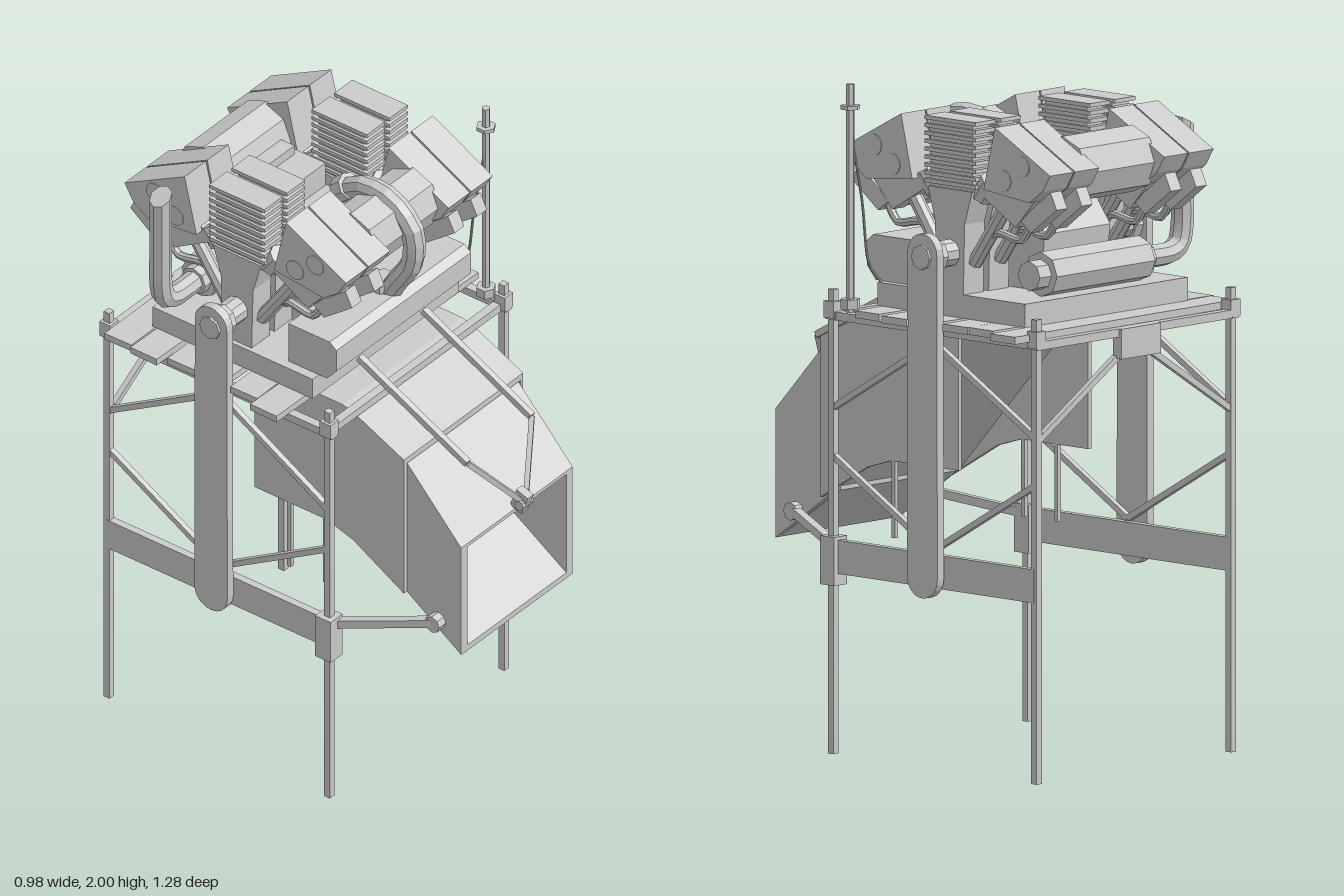
import * as THREE from 'three';

export function createModel() {
  const root = new THREE.Group();
  const mat = new THREE.MeshStandardMaterial({ color: 0xcccccc, flatShading: true, side: THREE.DoubleSide });

  const add = (name, geo, parent = root) => {
    const m = new THREE.Mesh(geo, mat);
    m.name = name;
    parent.add(m);
    return m;
  };
  const part = (name, x = 0) => {
    const g = new THREE.Group();
    g.name = name;
    g.position.x = x;
    root.add(g);
    return g;
  };
  // box given by its limits on each axis
  const box = (name, x0, x1, y0, y1, z0, z1, parent) => {
    const m = add(name, new THREE.BoxGeometry(x1 - x0, y1 - y0, z1 - z0), parent);
    m.position.set((x0 + x1) / 2, (y0 + y1) / 2, (z0 + z1) / 2);
    return m;
  };
  // square bar or round rod between two points
  const bar = (name, a, b, w, parent, round = 0) => {
    const A = new THREE.Vector3(...a), B = new THREE.Vector3(...b), len = A.distanceTo(B);
    const geo = round ? new THREE.CylinderGeometry(w / 2, w / 2, len, round) : new THREE.BoxGeometry(w, w, len);
    if (round) geo.rotateX(Math.PI / 2);
    const m = add(name, geo, parent);
    m.position.copy(A).add(B).multiplyScalar(0.5);
    m.lookAt(B.add(parent.position));
    return m;
  };
  // side profile in [z, y] extruded across x
  const outline = (pts) => new THREE.Shape(pts.map((p) => new THREE.Vector2(...p)));
  const slabShape = (name, shape, x, width, parent) => {
    const geo = new THREE.ExtrudeGeometry(shape, { depth: width, bevelEnabled: false, curveSegments: 5 });
    geo.translate(0, 0, -width / 2).rotateY(-Math.PI / 2).translate(x, 0, 0);
    return add(name, geo, parent);
  };
  const slab = (name, pts, x, width, parent) => slabShape(name, outline(pts), x, width, parent);
  const tube = (name, pts, r, parent) => {
    const curve = new THREE.CatmullRomCurve3(pts.map((p) => new THREE.Vector3(...p)), false, 'catmullrom', 0.4);
    return add(name, new THREE.TubeGeometry(curve, 14, r, 8), parent);
  };

  // Stand: posts, lower beams, side and rear bracing
  const stand = part('stand', -0.008);
  for (const s of [-1, 1]) {
    const x = s * 0.415;
    for (const z of [0.215, -0.61]) box('leg', x - 0.011, x + 0.011, 0, 1.385, z - 0.011, z + 0.011, stand);
    box('lowerBeam', x - 0.012, x + 0.012, 0.54, 0.64, -0.61, 0.215, stand);
    box('legBracket', x - 0.028, x + 0.028, 0.505, 0.65, 0.185, 0.243, stand);
    box('deckRail', x - 0.014, x + 0.014, 1.295, 1.32, -0.63, 0.235, stand);
    for (const z of [0.215, -0.61]) {
      box('railClamp', x - 0.02, x + 0.02, 1.3, 1.35, z - 0.02, z + 0.02, stand);
      bar('upperBrace', [x, 1.03, z], [x, 1.27, -0.195], 0.018, stand);
      bar('lowerBrace', [x, 0.89, z], [x, 0.65, -0.195], 0.018, stand);
    }
    bar('rearBrace', [x, 1.02, -0.61], [0, 1.28, -0.61], 0.018, stand);
    bar('chuteStay', [s * 0.41, 0.62, 0.215], [s * 0.28, 0.675, 0.5], 0.026, stand);
    bar('stayBolt', [s * 0.25, 0.675, 0.505], [s * 0.295, 0.675, 0.505], 0.055, stand, 8);
  }
  for (const z of [0.205, -0.615]) box('crossRail', -0.43, 0.43, 1.295, 1.32, z - 0.014, z + 0.014, stand);
  box('rearPlate', -0.085, 0.083, 1.23, 1.32, -0.64, -0.605, stand);

  // Deck planks with uneven ends
  const deck = part('deck');
  [[-0.47, 0.49, -0.545], [-0.48, 0.45, -0.43], [-0.455, 0.455, -0.32], [-0.44, 0.44, -0.205],
    [-0.455, 0.47, -0.085], [-0.49, 0.455, 0.027]].forEach(([a, b, z], i) => {
    const plank = box('plank', a, b, 1.318, 1.34, z - 0.05, z + 0.05, deck);
    plank.rotation.y = (i % 2 ? -1 : 1) * 0.012;
  });

  // Discharge chute: hood open below and behind, narrower mouth, sloping inner plates
  const chute = part('chute', -0.006);
  const hood = [[-0.17, 1.31], [0.16, 1.31], [0.2, 1.3], [0.39, 1.21], [0.39, 0.73], [0.2, 0.84], [0.1, 0.87], [-0.17, 0.87]];
  const mouth = [[0.38, 1.195], [0.59, 0.97], [0.59, 0.585], [0.38, 0.73]];
  const band = (pts, t) => [...pts, ...pts.slice().reverse().map(([z, y]) => [z, y + t])];
  for (const s of [-1, 1]) {
    slab('hoodSide', hood, s * 0.277, 0.014, chute);
    slab('mouthSide', mouth, s * 0.25, 0.03, chute);
    for (const z of [0.095, -0.04]) bar('chuteHanger', [s * 0.277, 0.64, z], [s * 0.277, 0.9, z], 0.014, chute);
  }
  slab('hoodTop', band(hood.slice(0, 4), -0.02), 0, 0.56, chute);
  slab('feedPlate', band([[0.34, 0.765], [-0.15, 1.29]], 0.012), 0, 0.54, chute);
  slab('mouthTop', band(mouth.slice(0, 2), -0.012), 0, 0.5, chute);
  slab('mouthFloor', band([[0.59, 0.585], [0.34, 0.752]], 0.02), 0, 0.5, chute);

  // Draw frame over the chute with its hook
  const draw = part('drawFrame', -0.005);
  for (const s of [-1, 1]) {
    bar('drawRail', [s * 0.153, 1.39, 0.12], [s * 0.153, 1.185, 0.525], 0.02, draw);
    bar('drawLink', [s * 0.153, 1.185, 0.525], [s * 0.01, 1.01, 0.615], 0.016, draw);
  }
  box('hookBlock', -0.014, 0.014, 0.97, 1.04, 0.585, 0.63, draw).rotation.x = 0.35;
  bar('hookPin', [-0.025, 1.0, 0.615], [0.025, 1.0, 0.615], 0.035, draw, 8);

  // Swing arms with rounded ends, hung on the cross shaft
  const arms = part('swingArms', -0.003);
  const armShape = new THREE.Shape();
  armShape.absarc(-0.195, 1.54, 0.06, 0, Math.PI);
  armShape.absarc(-0.195, 0.575, 0.062, Math.PI, Math.PI * 2);
  for (const s of [-1, 1]) {
    slabShape('arm', armShape, s * 0.448, 0.028, arms);
    bar('shaftHub', [s * 0.4, 1.53, -0.195], [s * 0.432, 1.53, -0.195], 0.1, arms, 8);
    bar('shaftCap', [s * 0.455, 1.53, -0.195], [s * 0.47, 1.53, -0.195], 0.075, arms, 8);
  }
  bar('crossShaft', [-0.44, 1.53, -0.195], [0.44, 1.53, -0.195], 0.082, arms, 10);

  // Engine base, front box and crankcase
  const engine = part('engine');
  box('basePlate', -0.355, 0.34, 1.34, 1.41, -0.5, 0.1, engine);
  slab('frontTank', [[-0.015, 1.41], [0.13, 1.41], [0.165, 1.45], [0.165, 1.525], [0.14, 1.545], [-0.015, 1.545]], -0.005, 0.64, engine);
  slab('crankcase', [[-0.36, 1.41], [-0.03, 1.41], [-0.03, 1.58], [-0.1, 1.7], [-0.29, 1.7], [-0.38, 1.58]], -0.01, 0.28, engine);
  box('intakeBox', -0.125, 0.125, 1.7, 1.78, -0.41, -0.23, engine);
  box('intakeLid', -0.115, 0.105, 1.78, 1.81, -0.41, -0.33, engine);

  // Four cylinder rows: finned barrel in the middle, mirrored heads fore and aft
  const zc = -0.195;
  for (const x of [-0.298, -0.19, 0.19, 0.298]) {
    slab('barrelFoot', [[-0.25, 1.41], [-0.14, 1.41], [-0.135, 1.62], [-0.105, 1.72], [-0.285, 1.72], [-0.255, 1.62]], x, 0.085, engine);
    box('barrelCore', x - 0.035, x + 0.035, 1.7, 1.92, -0.28, -0.11, engine);
    for (let i = 0; i < 9; i++) {
      const y = 1.735 + i * 0.0235;
      box('fin', x - 0.043, x + 0.043, y - 0.006, y + 0.006, -0.3, -0.092, engine);
    }
    for (const s of [-1, 1]) {
      const mirror = (pts) => pts.map(([d, y]) => [zc + s * d, y]);
      slab('headCover', mirror([[0.19, 1.925], [0.415, 1.805], [0.385, 1.755], [0.33, 1.715], [0.145, 1.735]]), x, 0.102, engine);
      slab('headNeck', mirror([[0.34, 1.73], [0.25, 1.63], [0.105, 1.715], [0.16, 1.76]]), x, 0.05, engine);
      slab('headFoot', mirror([[0.3, 1.68], [0.39, 1.75], [0.415, 1.7], [0.31, 1.62], [0.27, 1.65]]), x, 0.046, engine);
      for (const [d, y] of [[0.3, 1.82], [0.225, 1.77]])
        bar('headBoss', [x - 0.054, y, zc + s * d], [x + 0.054, y, zc + s * d], 0.065, engine, 12);
      bar('pushrodTube', [x, 1.5, zc + s * 0.06], [x, 1.7, zc + s * 0.2], 0.045, engine, 8);
      tube('feedPipe', [[x, 1.66, zc + s * 0.3], [x, 1.59, zc + s * 0.25], [x, 1.6, zc + s * 0.15], [x, 1.52, zc + s * 0.07]], 0.013, engine);
      bar('plug', [x, 1.7, zc + s * 0.09], [x, 1.755, zc + s * 0.13], 0.07, engine, 8);
    }
  }
  for (const s of [-1, 1])
    bar('bankManifold', [-0.15, 1.785, zc + s * 0.275], [0.15, 1.785, zc + s * 0.275], 0.2, engine, 8);

  // Central intake pipe
  tube('intakePipe', [[0, 1.83, -0.06], [0, 1.875, 0.02], [0, 1.865, 0.12], [0, 1.79, 0.195], [0, 1.68, 0.195], [0, 1.59, 0.14], [0, 1.52, 0.1]], 0.034, engine);
  bar('pipeCollar', [0, 1.82, -0.075], [0, 1.85, -0.04], 0.085, engine, 8);
  bar('pipeFlange', [0, 1.54, 0.08], [0, 1.57, 0.08], 0.1, engine, 6);

  // Rear muffler with its upright exhaust
  const exhaust = part('exhaust');
  bar('muffler', [-0.22, 1.475, -0.43], [0.2, 1.475, -0.43], 0.135, exhaust, 8);
  for (const s of [-1, 1]) bar('mufflerEnd', [s * 0.2, 1.475, -0.43], [s * 0.25, 1.475, -0.43], 0.09, exhaust, 8);
  tube('exhaustElbow', [[-0.22, 1.475, -0.43], [-0.34, 1.475, -0.43], [-0.39, 1.5, -0.43], [-0.405, 1.56, -0.43], [-0.405, 1.65, -0.43]], 0.034, exhaust);
  // slanted top on the stack
  const stack = new THREE.CylinderGeometry(0.034, 0.034, 0.25, 8);
  const pos = stack.attributes.position;
  for (let i = 0; i < pos.count; i++) if (pos.getY(i) > 0) pos.setY(i, pos.getY(i) + pos.getX(i) * 0.55);
  add('exhaustStack', stack, exhaust).position.set(-0.405, 1.74, -0.43);

  // Signal mast
  const mast = part('mast', 0.003);
  bar('mastPole', [0.39, 1.32, 0.16], [0.39, 2, 0.16], 0.026, mast, 6);
  bar('mastCollar', [0.39, 1.925, 0.16], [0.39, 1.937, 0.16], 0.06, mast, 6);
  bar('mastFoot', [0.39, 1.33, 0.16], [0.39, 1.36, 0.16], 0.06, mast, 6);
  tube('mastCable', [[0.31, 1.4, 0.1], [0.355, 1.47, 0.12], [0.36, 1.65, 0.14], [0.385, 1.85, 0.16]], 0.004, mast);

  return root;
}
